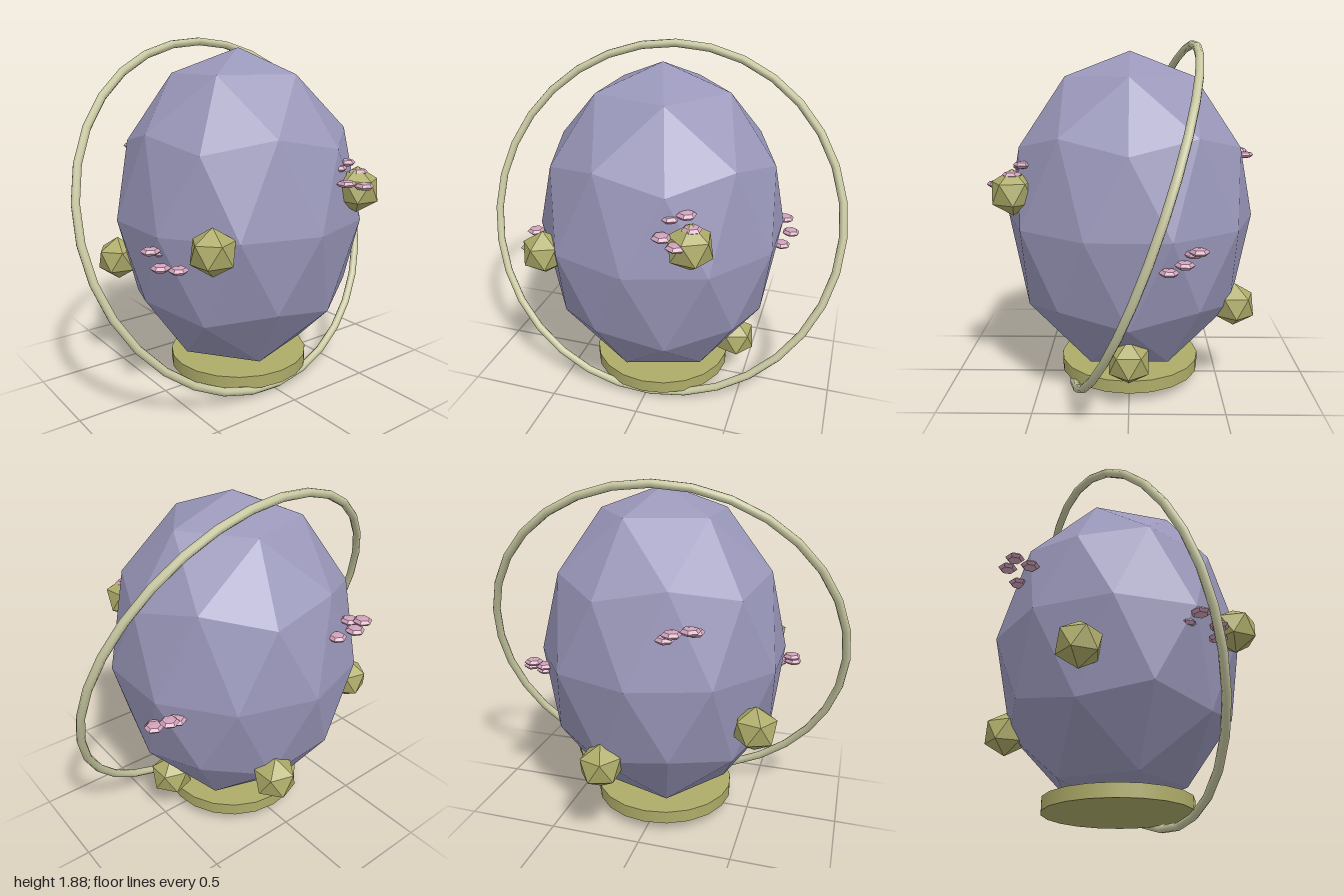
import * as THREE from 'three';

const mat = (name, color) => {
  const m = new THREE.MeshStandardMaterial({ color });
  m.name = name;
  return m;
};

// Faceted copy of a geometry: every face keeps its own normal
function faceted(geometry) {
  const g = geometry.index ? geometry.toNonIndexed() : geometry;
  g.computeVertexNormals();
  return g;
}

// Icosahedron standing on a corner, with an upper-ring corner towards +x
function uprightIco(radius, detail) {
  const g = new THREE.IcosahedronGeometry(radius, detail);
  g.rotateX(-Math.atan((1 + Math.sqrt(5)) / 2));
  g.rotateY(Math.PI / 2);
  return g;
}

export function createModel() {
  const model = new THREE.Group();
  model.name = 'gemmedEgg';

  const lavender = mat('lavender', 0x9a97ba);
  const olive = mat('olive', 0xaeac69);
  const paleGold = mat('paleGold', 0xc9c9a2);
  const pink = mat('pink', 0xd0a2ba);

  const add = (parent, name, geometry, material, x = 0, y = 0, z = 0) => {
    const mesh = new THREE.Mesh(geometry, material);
    mesh.name = name;
    mesh.position.set(x, y, z);
    parent.add(mesh);
    return mesh;
  };

  // Tall faceted egg body
  const bodyGeo = uprightIco(1, 1);
  bodyGeo.scale(0.675, 0.885, 0.675);
  add(model, 'eggBody', faceted(bodyGeo), lavender, 0, 0.95, 0);

  // Round base plate
  add(model, 'base', new THREE.CylinderGeometry(0.39, 0.39, 0.07, 20), olive, 0, 0.097, 0);

  // Tilted hoop around the egg
  const hoop = add(model, 'hoop', new THREE.TorusGeometry(0.979, 0.022, 8, 32), paleGold, 0, 0.947, 0);
  hoop.rotation.set(-0.345, 0.09, 0, 'YXZ');

  // Gems half sunk in the shell, each turned outwards
  const gems = new THREE.Group();
  gems.name = 'gems';
  model.add(gems);
  const gemGeo = faceted(uprightIco(0.12, 0).rotateY(Math.PI));
  [
    [-0.5, 0.915, 0.47],
    [0.315, 1.13, 0.59],
    [0.44, 0.267, 0],
    [0.17, 0.485, -0.57],
    [-0.575, 0.695, -0.35],
  ].forEach(([x, y, z]) => {
    add(gems, 'gem', gemGeo, olive, x, y, z).rotation.y = Math.atan2(-z, x);
  });

  // Clusters of flat six-sided petals
  const petalGeo = faceted(new THREE.SphereGeometry(0.05, 6, 4).rotateY(Math.PI / 6).scale(1, 0.4, 1));
  petalGeo.rotateY(0);
  const clusters = {
    frontPetals: [[0.28, 1.265, 0.54], [0.205, 1.245, 0.555], [0.32, 1.22, 0.59], [0.19, 1.18, 0.635], [0.27, 1.165, 0.68]],
    rightPetals: [[-0.68, 0.89, 0.21], [-0.68, 0.83, 0.3], [-0.6, 0.81, 0.33], [-0.6, 0.86, 0.17]],
    leftPetals: [[0.64, 0.91, -0.33], [0.685, 0.86, -0.26], [0.645, 0.81, -0.19], [0.585, 0.885, -0.31]],
    backPetals: [[-0.31, 1.27, -0.64], [-0.23, 1.255, -0.665], [-0.18, 1.205, -0.6], [-0.31, 1.24, -0.56]],
  };
  for (const [name, petals] of Object.entries(clusters)) {
    const group = new THREE.Group();
    group.name = name;
    petals.forEach(([x, y, z]) => add(group, 'petal', petalGeo, pink, x, y, z).rotation.y = Math.PI / 3);
    model.add(group);
  }

  return model;
}
